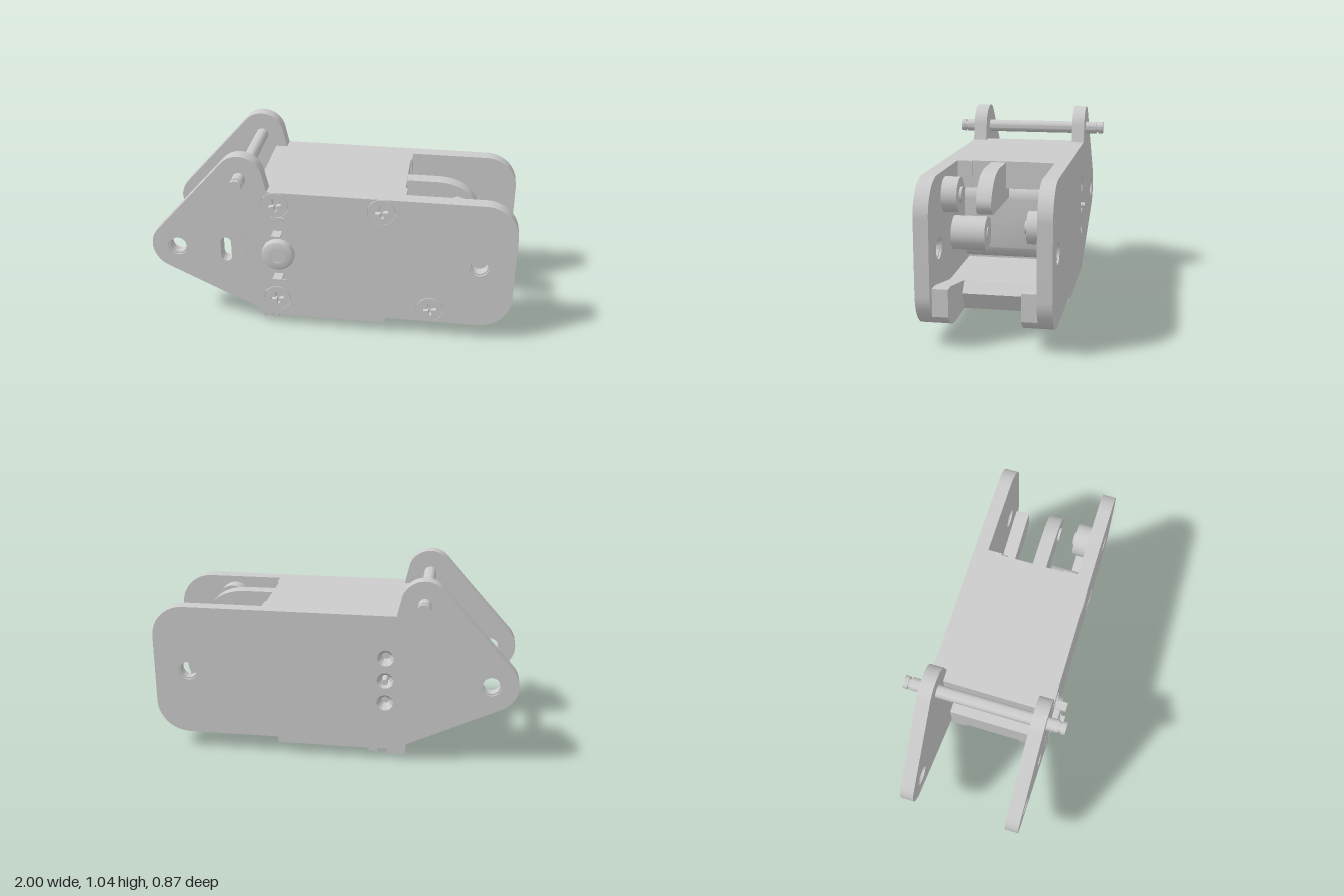
import * as THREE from 'three';
import { toCreasedNormals } from 'three/addons/utils/BufferGeometryUtils.js';

const material = new THREE.MeshStandardMaterial({ color: 0xcccccc, side: THREE.DoubleSide });
const RAD = Math.PI / 180;

export function createModel() {
  const model = new THREE.Group();

  function add(name, geometry, x = 0, y = 0, z = 0) {
    const mesh = new THREE.Mesh(geometry, material);
    mesh.name = name;
    mesh.position.set(x, y, z);
    model.add(mesh);
    return mesh;
  }
  const box = (name, x0, x1, y0, y1, z0, z1) =>
    add(name, new THREE.BoxGeometry(x1 - x0, y1 - y0, z1 - z0), (x0 + x1) / 2, (y0 + y1) / 2, (z0 + z1) / 2);
  const extrude = (name, shape, z0, z1) => add(name, toCreasedNormals(
    new THREE.ExtrudeGeometry(shape, { depth: z1 - z0, bevelEnabled: false, curveSegments: 20 }), 30 * RAD), 0, 0, z0);
  const rod = (name, x, y, r, z0, z1) =>
    add(name, new THREE.CylinderGeometry(r, r, z1 - z0, 32).rotateX(Math.PI / 2), x, y, (z0 + z1) / 2);
  // Turned part along z, from [radius, z] points
  const turned = (name, points, x, y, z) => add(name, toCreasedNormals(
    new THREE.LatheGeometry(points.map(([r, h]) => new THREE.Vector2(r, h)), 32).rotateX(Math.PI / 2), 35 * RAD), x, y, z);
  const circle = (x, y, r) => new THREE.Path().absarc(x, y, r, 0, Math.PI * 2, true);
  const polygon = (pts) => new THREE.Shape(pts.map(([x, y]) => new THREE.Vector2(x, y)));
  function tube(name, x, y, outer, inner, z0, z1) {
    const s = new THREE.Shape().absarc(x, y, outer, 0, Math.PI * 2, false);
    s.holes.push(circle(x, y, inner));
    return extrude(name, s, z0, z1);
  }

  // Side plates
  const eyes = [[-0.855, 0.475], [0.81, 0.475]];
  const screws = [[-0.3, 0.77], [0.275, 0.77], [-0.3, 0.18], [0.555, 0.18]];
  const backHoles = [0.605, 0.475, 0.345];
  function plateShape() {
    const s = new THREE.Shape();
    s.moveTo(-0.405, 0.1);
    s.lineTo(0.82, 0.1);
    s.absarc(0.82, 0.28, 0.18, -90 * RAD, 0, false);
    s.absarc(0.82, 0.665, 0.18, 0, 90 * RAD, false);
    s.lineTo(-0.34, 0.845);
    s.absarc(-0.485, 0.918, 0.125, 10 * RAD, 138 * RAD, false);
    s.absarc(-0.855, 0.475, 0.145, 138 * RAD, 244.5 * RAD, false);
    s.closePath();
    eyes.forEach(([x, y]) => s.holes.push(circle(x, y, 0.066)));
    return s;
  }
  const front = plateShape();
  screws.forEach(([x, y]) => front.holes.push(circle(x, y, 0.075)));
  const slot = new THREE.Path();
  slot.absarc(-0.58, 0.52, 0.03, 0, Math.PI, false);
  slot.absarc(-0.58, 0.43, 0.03, Math.PI, Math.PI * 2, false);
  slot.closePath();
  front.holes.push(slot);
  extrude('frontPlate', front, 0.26, 0.335);
  const back = plateShape();
  backHoles.forEach((y) => back.holes.push(circle(-0.285, y, 0.045)));
  extrude('backPlate', back, -0.335, -0.26);

  // Bushings in the end holes
  for (const z of [-0.335, 0.26]) {
    for (const [x, y] of eyes) {
      tube('bushing', x, y, 0.066, 0.055, z, z + 0.075);
      tube('bushingLiner', x, y, 0.055, 0.046, z + 0.01, z + 0.065);
    }
  }

  // Cross-head screws
  for (const [x, y] of screws) {
    const head = new THREE.Shape().absarc(x, y, 0.073, 0, Math.PI * 2, false);
    const a = 0.007, b = 0.037, cross = new THREE.Path();
    [[a, a], [b, a], [b, -a], [a, -a], [a, -b], [-a, -b], [-a, -a], [-b, -a], [-b, a], [-a, a], [-a, b], [a, b]]
      .forEach(([u, v], i) => {
        const c = Math.cos(0.2), d = Math.sin(0.2);
        cross[i ? 'lineTo' : 'moveTo'](x + u * c - v * d, y + u * d + v * c);
      });
    cross.closePath();
    head.holes.push(cross);
    extrude('screwHead', head, 0.31, 0.337);
    rod('screwShank', x, y, 0.073, 0.262, 0.31);
  }

  // Countersunk seats in the back plate and the centre pin
  for (const y of backHoles) turned('screwSeat', [[0.045, 0], [0.024, 0.03], [0.024, 0.06], [0, 0.06]], -0.285, y, -0.335);
  rod('centrePin', -0.285, 0.475, 0.016, -0.355, -0.26);

  // Body between the plates: roof and floor with a recess at both ends
  extrude('body', polygon([
    [-0.405, 0.1], [0.61, 0.1], [0.66, 0.195], [0.61, 0.25], [0.15, 0.25], [0.15, 0.7], [0.39, 0.7],
    [0.39, 0.845], [-0.405, 0.845], [-0.405, 0.7], [-0.18, 0.7], [-0.18, 0.25], [-0.405, 0.25],
  ]), -0.18, 0.18);
  for (const z of [-0.26, 0.18]) {
    extrude('bodySide', polygon([
      [-0.405, 0.1], [0.4, 0.1], [0.4, 0.25], [0.15, 0.25], [0.15, 0.7], [0.4, 0.7],
      [0.4, 0.845], [-0.405, 0.845], [-0.405, 0.7], [-0.18, 0.7], [-0.18, 0.25], [-0.405, 0.25],
    ]), z, z + 0.08);
    // Lower flange following the rounded plate corner
    const flange = new THREE.Shape();
    flange.moveTo(0.4, 0.1);
    flange.lineTo(0.82, 0.1);
    flange.absarc(0.82, 0.28, 0.18, -90 * RAD, -38 * RAD, false);
    flange.lineTo(0.96, 0.31);
    flange.lineTo(0.9, 0.31);
    flange.lineTo(0.6, 0.25);
    flange.lineTo(0.4, 0.25);
    flange.closePath();
    extrude('cornerFlange', flange, z, z + 0.08);
  }

  // Motor housing with rounded long edges
  const motor = new THREE.Shape();
  motor.moveTo(0.1, 0.26);
  motor.lineTo(0.14, 0.26);
  motor.quadraticCurveTo(0.22, 0.27, 0.24, 0.335);
  motor.lineTo(0.24, 0.6);
  motor.absarc(0.15, 0.605, 0.09, 0, 90 * RAD, false);
  motor.lineTo(0.1, 0.695);
  motor.closePath();
  extrude('motorHousing', motor, -0.22, 0.26);

  // Lever and rollers in the right-hand opening
  const lever = new THREE.Shape();
  lever.moveTo(0.3, 0.635);
  lever.lineTo(0.74, 0.635);
  lever.absarc(0.72, 0.695, 0.06, -70 * RAD, 20 * RAD, false);
  lever.quadraticCurveTo(0.72, 0.835, 0.56, 0.84);
  lever.lineTo(0.3, 0.84);
  lever.closePath();
  extrude('lever', lever, 0, 0.077);
  rod('leverBoss', 0.67, 0.72, 0.04, 0.077, 0.09);
  rod('leverRoller', 0.67, 0.72, 0.09, 0.18, 0.26);
  rod('leverRollerBoss', 0.67, 0.72, 0.04, 0.167, 0.18);
  rod('frontRoller', 0.485, 0.475, 0.09, 0.08, 0.26);
  rod('frontRollerTip', 0.485, 0.475, 0.035, 0.075, 0.09);
  rod('backRoller', 0.485, 0.475, 0.073, -0.26, -0.195);
  rod('innerRoller', 0.32, 0.475, 0.09, -0.26, -0.11);
  rod('innerRollerTip', 0.32, 0.475, 0.035, -0.11, -0.093);

  // Pivot hubs in the left-hand recess and the front knob
  rod('pivotHub', -0.285, 0.475, 0.09, 0.08, 0.26);
  rod('backPivotHub', -0.285, 0.475, 0.09, -0.26, -0.11);
  rod('pivotShaft', -0.285, 0.475, 0.035, -0.11, 0.09);
  turned('frontKnob', [[0.04, 0.036], [0.04, 0.04], [0.075, 0.04], [0.086, 0.034], [0.09, 0.022], [0.09, -0.02]], -0.285, 0.475, 0.335);
  rod('knobCore', -0.285, 0.475, 0.04, 0.33, 0.371);

  // Small clips and terminals above and below the knob
  for (const side of [-1, 1]) {
    const y = 0.475 + side * 0.135;
    box('terminalPin', -0.31, -0.26, y - 0.005, y + 0.005, 0.33, 0.4);
    const c = 0.475 + side * 0.195;
    box('clip', -0.315, -0.255, c - 0.025, c + 0.025, 0.33, 0.338);
    box('clipBar', -0.325, -0.245, c + 0.018, c + 0.028, 0.33, 0.341);
  }
  box('guideRib', -0.473, -0.467, 0.355, 0.595, 0.33, 0.337);

  // Cross rod with grooved ends
  turned('crossRod', [[0, -0.437], [0.035, -0.437], [0.035, -0.412], [0.027, -0.412], [0.027, -0.4], [0.035, -0.4],
    [0.035, 0.4], [0.027, 0.4], [0.027, 0.412], [0.035, 0.412], [0.035, 0.437], [0, 0.437]], -0.485, 0.915, 0);

  // Circuit board and its components
  box('circuitBoard', -0.405, 0.31, 0.065, 0.105, -0.333, 0.333);
  [
    [-0.135, 0.01, 0.002, -0.04, 0.14], [-0.4, -0.3, 0.02, 0.165, 0.27], [-0.4, -0.3, 0.01, -0.285, -0.17],
    [0.1, 0.29, 0.03, -0.16, 0.0], [-0.25, -0.14, 0.045, -0.16, -0.06], [-0.26, -0.17, 0.045, 0.08, 0.16],
    [0.03, 0.08, 0.05, 0.2, 0.26], [-0.08, -0.02, 0.045, -0.3, -0.24], [-0.25, -0.2, 0.04, -0.32, -0.29],
    [0.12, 0.16, 0.05, 0.1, 0.16], [0.2, 0.24, 0.055, 0.24, 0.3],
  ].forEach(([x0, x1, y0, z0, z1]) => box('boardComponent', x0, x1, y0, 0.066, z0, z1));
  for (let i = 0; i < 7; i++) {
    for (const z of [-0.18, 0.01]) box('chipLead', 0.11 + i * 0.026, 0.122 + i * 0.026, 0.04, 0.066, z, z + 0.02);
    if (i < 3) box('connectorLead', -0.39 + i * 0.035, -0.37 + i * 0.035, 0.03, 0.066, 0.27, 0.31);
  }
  return model;
}
